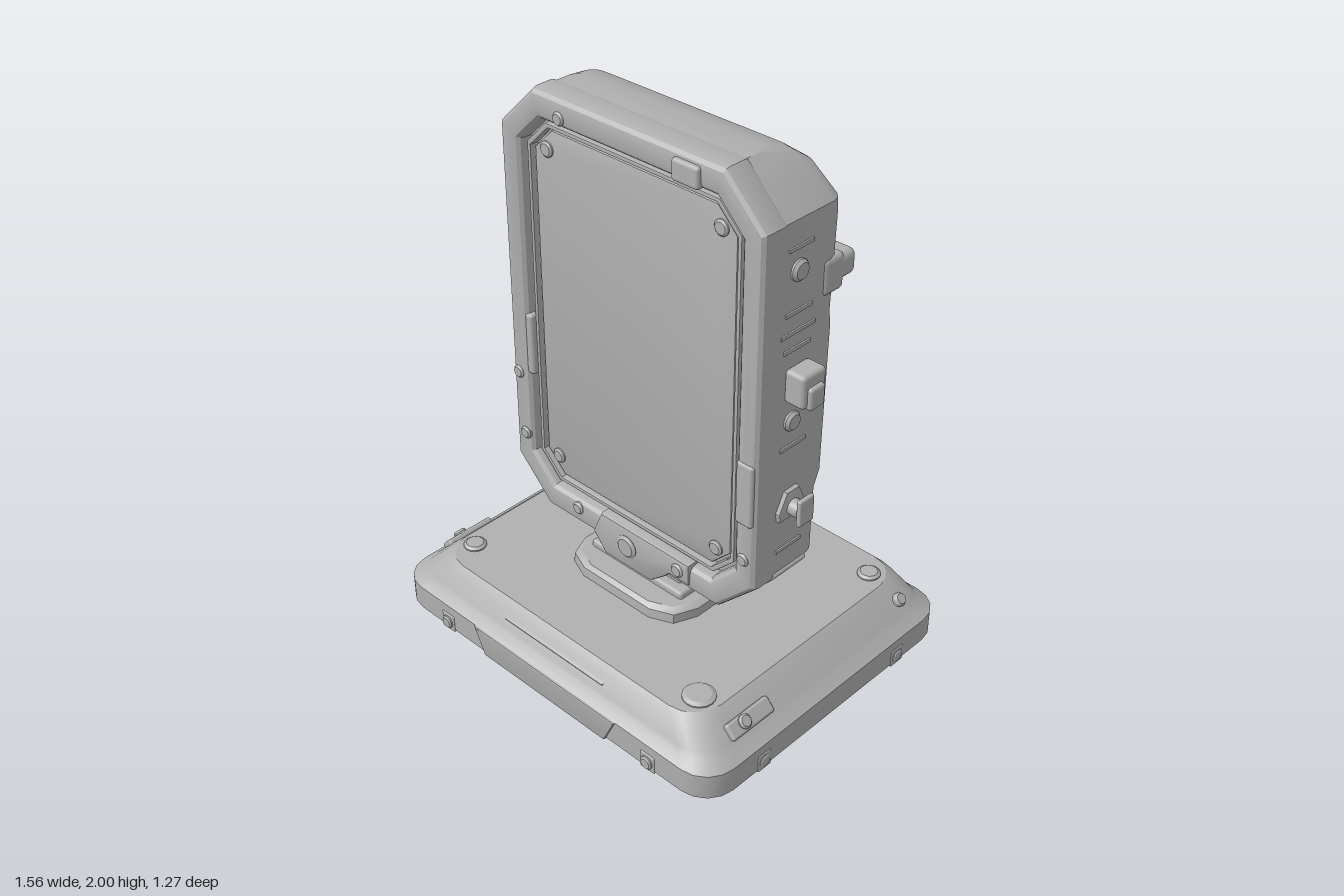
import * as THREE from 'three';
import { toCreasedNormals } from 'three/addons/utils/BufferGeometryUtils.js';
import { RoundedBoxGeometry } from 'three/addons/geometries/RoundedBoxGeometry.js';

const grey = new THREE.MeshStandardMaterial({ color: 0xb0b0b0 });
grey.name = 'grey casing';

function add(parent, name, geo, x = 0, y = 0, z = 0) {
  const mesh = new THREE.Mesh(geo, grey);
  mesh.name = name;
  mesh.position.set(x, y, z);
  parent.add(mesh);
  return mesh;
}

// Horizontal ring: rectangle with rounded corners at height y
function ring(y, w, zFront, zBack, r, steps = 4) {
  const pts = [];
  const corners = [[w - r, zFront - r], [r - w, zFront - r], [r - w, zBack + r], [w - r, zBack + r]];
  corners.forEach(([cx, cz], k) => {
    for (let i = 0; i <= steps; i++) {
      const a = (k + i / steps) * Math.PI / 2;
      pts.push([cx + r * Math.cos(a), y, cz + r * Math.sin(a)]);
    }
  });
  return pts;
}

// Closed skin through rings stacked from bottom to top
function loft(rings, crease = 0.5) {
  const n = rings[0].length, pos = [], idx = [];
  rings.forEach(r => r.forEach(p => pos.push(...p)));
  for (let j = 0; j < rings.length - 1; j++) {
    for (let i = 0; i < n; i++) {
      const a = j * n + i, a2 = j * n + (i + 1) % n, b = a + n, b2 = a2 + n;
      idx.push(a, b, a2, b, b2, a2);
    }
  }
  const top = (rings.length - 1) * n;
  for (let i = 1; i < n - 1; i++) idx.push(0, i, i + 1, top, top + i + 1, top + i);
  const geo = new THREE.BufferGeometry();
  geo.setAttribute('position', new THREE.Float32BufferAttribute(pos, 3));
  geo.setIndex(idx);
  return toCreasedNormals(geo, crease);
}

const poly = pts => new THREE.Shape(pts.map(p => new THREE.Vector2(p[0], p[1])));
const octagon = (w, y0, y1, c) => [
  [w, y0 + c], [w, y1 - c], [w - c, y1], [c - w, y1],
  [-w, y1 - c], [-w, y0 + c], [c - w, y0], [w - c, y0]];

// Bevelled slab whose back lies on z = 0 and whose outline is the given shape
function slab(shape, depth, bevel, segments = 2) {
  const geo = new THREE.ExtrudeGeometry(shape, {
    depth: depth - 2 * bevel, bevelThickness: bevel, bevelSize: bevel,
    bevelOffset: -bevel, bevelSegments: segments, curveSegments: 6 });
  geo.translate(0, 0, bevel);
  return toCreasedNormals(geo, 0.5);
}

// Round stud pointing along an axis with a softened rim
function stud(parent, name, r, len, axis, x, y, z) {
  const p = [[0, 0], [r, 0], [r, len * 0.6], [r * 0.75, len], [0, len]].map(q => new THREE.Vector2(...q));
  const mesh = add(parent, name, toCreasedNormals(new THREE.LatheGeometry(p, 16), 0.5), x, y, z);
  mesh.quaternion.setFromUnitVectors(new THREE.Vector3(0, 1, 0), new THREE.Vector3(...axis));
  return mesh;
}
const block = (w, h, d, r = 0.012) => new RoundedBoxGeometry(w, h, d, 2, r);

function buildBase() {
  const base = new THREE.Group();
  base.name = 'base';
  const rows = [[0, 0.755, 0.605], [0.015, 0.77, 0.62], [0.11, 0.77, 0.62], [0.135, 0.735, 0.592],
    [0.155, 0.715, 0.58], [0.215, 0.655, 0.55], [0.235, 0.63, 0.53]];
  add(base, 'basePlinth', loft(rows.map(([y, w, d]) => ring(y, w, d, -d, 0.12))));

  // Stepped trapezoid panels on the front and back edges
  for (const s of [1, -1]) {
    const edge = add(base, 'edgePanel', slab(poly([[-0.3, 0.005], [0.3, 0.005], [0.35, 0.11], [-0.35, 0.11]]), 0.02, 0.006), 0, 0, s * 0.608);
    if (s < 0) edge.rotation.y = Math.PI;
    const lip = add(base, 'lipPanel', slab(poly([[-0.24, 0], [0.24, 0], [0.28, 0.06], [-0.28, 0.06]]), 0.016, 0.004), 0, 0.165, s * 0.566);
    lip.rotation.set(-1.0, s < 0 ? Math.PI : 0, 0, 'YXZ');
    // Edge bolts
    for (const x of [-0.5, 0.5]) {
      add(base, 'boltPocket', block(0.065, 0.07, 0.02, 0.006), x, 0.04, s * 0.614);
      stud(base, 'edgeBolt', 0.025, 0.012, [0, 0, s], x, 0.04, s * 0.622);
    }
    for (const z of [-0.35, 0.35]) {
      add(base, 'boltPocket', block(0.02, 0.07, 0.065, 0.006), s * 0.763, 0.04, z);
      stud(base, 'edgeBolt', 0.025, 0.01, [s, 0, 0], s * 0.768, 0.04, z);
    }
    // Raised shoulder guards with their screws
    const guard = add(base, 'shoulderGuard', block(0.06, 0.035, 0.2, 0.01), s * 0.695, 0.175, 0.35);
    guard.rotation.z = -s * 0.8;
    stud(base, 'guardScrew', 0.025, 0.02, [s * 0.7, 0.7, 0], s * 0.7, 0.185, 0.38);
    stud(base, 'guardScrew', 0.025, 0.025, [s * 0.7, 0.7, 0], s * 0.685, 0.18, -0.45);
  }
  // Feet studs on the upper face
  for (const [x, z, r] of [[-0.53, -0.49, 0.04], [0.56, -0.44, 0.042], [-0.57, 0.42, 0.042], [0.55, 0.43, 0.058]])
    stud(base, 'topStud', r, 0.02, [0, 1, 0], x, 0.228, z);
  // Flat patches
  const patch = poly([[0.05, 0.31], [0.16, 0.29], [0.2, 0.38], [0.17, 0.43], [0.1, 0.4]]);
  add(base, 'topPatch', slab(patch, 0.012, 0.003), 0, 0.23, 0).rotation.x = -Math.PI / 2;
  add(base, 'rearTab', block(0.11, 0.03, 0.02, 0.005), 0.13, 0.09, -0.622);
  return base;
}

function buildNeck() {
  const neck = new THREE.Group();
  neck.name = 'neck';
  const collar = [[0.22, 0.28, 0.27], [0.27, 0.28, 0.265], [0.285, 0.26, 0.25]];
  add(neck, 'collar', loft(collar.map(([y, w, d]) => ring(y, w, d, -d, 0.12, 2))));
  add(neck, 'collarStep', block(0.44, 0.04, 0.3), 0, 0.29, 0.02);
  add(neck, 'post', block(0.36, 0.17, 0.2), 0, 0.36, 0.03);
  // Front bracket with pivot caps
  const bracket = poly([[-0.11, 0.33], [0.11, 0.33], [0.17, 0.38], [0.2, 0.41], [0.29, 0.41],
    [0.29, 0.495], [-0.13, 0.495], [-0.17, 0.4]]);
  add(neck, 'frontBracket', slab(bracket, 0.11, 0.012), 0, 0, 0.1);
  stud(neck, 'pivotCap', 0.045, 0.02, [0, 0, 1], 0, 0.42, 0.2);
  stud(neck, 'bracketScrew', 0.026, 0.018, [0, 0, 1], 0.24, 0.452, 0.2);
  // Rear hinge
  add(neck, 'rearBracket', slab(poly([[-0.1, 0.34], [0.1, 0.34], [0.14, 0.46], [-0.14, 0.46]]), 0.08, 0.012), 0, 0, -0.12);
  stud(neck, 'rearPivot', 0.05, 0.03, [0, 0, -1], 0, 0.43, -0.11);
  return neck;
}

function buildHead() {
  const head = new THREE.Group();
  head.name = 'displayHead';
  // Casing: height, half width, back depth
  const rows = [[0.385, 0.42, -0.06], [0.43, 0.46, -0.1], [0.55, 0.563, -0.12], [0.8, 0.563, -0.125],
    [0.86, 0.563, -0.15], [1.4, 0.563, -0.162], [1.46, 0.563, -0.155], [1.8, 0.563, -0.168],
    [1.84, 0.563, -0.165], [1.93, 0.475, -0.145], [1.975, 0.425, -0.09], [1.995, 0.4, -0.01]];
  add(head, 'rearCasing', loft(rows.map(([y, w, zb]) => ring(y, w, 0.14, zb, 0.05, 3))));

  // Front frame and recessed screen
  const frame = poly(octagon(0.567, 0.38, 2.0, 0.16));
  frame.holes.push(poly(octagon(0.475, 0.485, 1.9, 0.1).reverse()));
  add(head, 'frontFrame', slab(frame, 0.12, 0.03, 3), 0, 0, 0.08);
  const rim = poly(octagon(0.46, 0.5, 1.885, 0.09));
  rim.holes.push(poly(octagon(0.445, 0.515, 1.87, 0.085).reverse()));
  add(head, 'screenRim', slab(rim, 0.05, 0.004), 0, 0, 0.125);
  add(head, 'screen', slab(poly(octagon(0.435, 0.525, 1.86, 0.08)), 0.05, 0.008), 0, 0, 0.115);
  for (const x of [-0.375, 0.375])
    for (const y of [0.6, 1.79]) stud(head, 'screenScrew', 0.028, 0.014, [0, 0, 1], x, y, 0.162);

  // Small clips on the frame
  add(head, 'topClip', block(0.11, 0.075, 0.1), 0.265, 1.94, 0.165);
  add(head, 'sideClip', block(0.07, 0.24, 0.05), 0.52, 0.91, 0.182);
  add(head, 'sideClip', block(0.035, 0.24, 0.05), -0.475, 1.03, 0.172);
  for (const [x, y] of [[-0.28, 1.935], [-0.53, 0.9], [-0.51, 0.65], [0.52, 0.65], [-0.25, 0.45]])
    stud(head, 'frameStud', 0.024, 0.018, [0, 0, 1], x, y, 0.19);

  // Rear crossbar with end brackets
  add(head, 'rearCrossbar', block(1.14, 0.09, 0.1, 0.025), 0, 1.595, -0.187);
  for (const s of [1, -1]) {
    add(head, 'crossbarEnd', block(0.05, 0.13, 0.1, 0.02), s * 0.545, 1.585, -0.13);

    // Side controls
    stud(head, 'sideButton', 0.037, 0.025, [s, 0, 0], s * 0.555, 1.67, 0.035);
    stud(head, 'sideButton', 0.035, 0.025, [s, 0, 0], s * 0.555, 1.135, 0.04);
    add(head, 'sideLatch', block(0.08, 0.12, 0.11, 0.015), s * 0.6, 1.28, 0.025);
    add(head, 'latchTip', block(0.05, 0.08, 0.07, 0.012), s * 0.63, 1.255, 0.025);
    const mount = add(head, 'leverMount', slab(poly([[-0.06, 0.765], [0.06, 0.765], [0.065, 0.8], [0.03, 0.87], [-0.03, 0.87], [-0.065, 0.8]]), 0.03, 0.008), s * 0.55, 0, 0.03);
    mount.rotation.y = s * Math.PI / 2;
    stud(head, 'leverStem', 0.03, 0.07, [s, 0, 0], s * 0.56, 0.805, 0.03);
    add(head, 'leverFlange', block(0.018, 0.1, 0.07, 0.006), s * 0.63, 0.815, 0.03);
    // Thin vent strips
    for (const [y, len] of [[1.75, 0.11], [1.53, 0.12], [1.46, 0.16], [1.4, 0.12], [1.04, 0.12], [0.64, 0.12]])
      add(head, 'ventStrip', new THREE.BoxGeometry(0.008, 0.012, len), s * 0.565, y, 0.03);
    // Lower corner guard
    const guard = add(head, 'cornerGuard', block(0.03, 0.18, 0.18, 0.01), s * 0.49, 0.47, 0.01);
    guard.rotation.z = -s * 0.75;
  }
  return head;
}

export function createModel() {
  const model = new THREE.Group();
  model.name = 'displayStand';
  model.add(buildBase(), buildNeck(), buildHead());
  return model;
}
